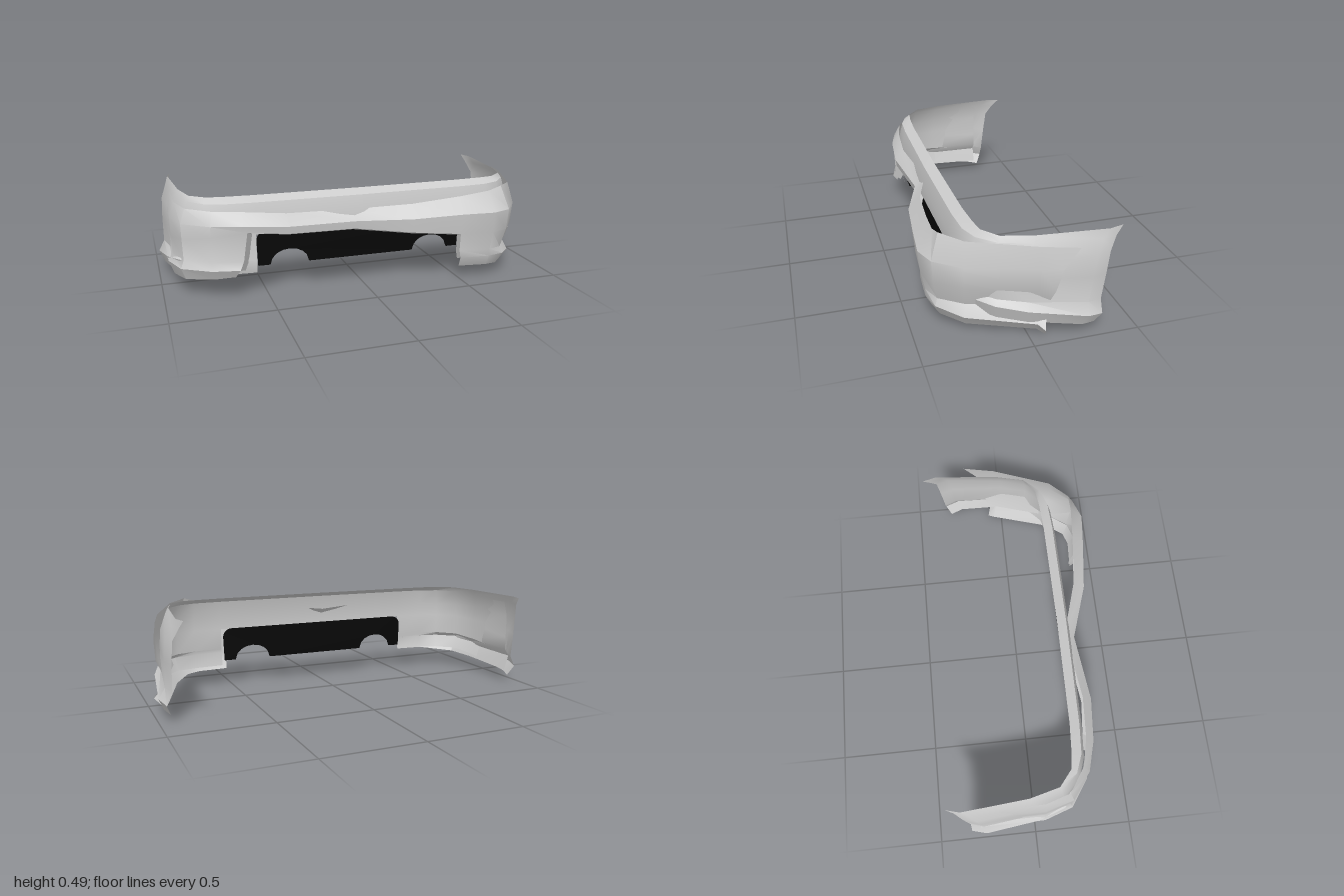
import * as THREE from 'three';
import { toCreasedNormals } from 'three/addons/utils/BufferGeometryUtils.js';

const paint = new THREE.MeshStandardMaterial({ color: 0xcccccc, side: THREE.DoubleSide });
paint.name = 'grey paint';
const black = new THREE.MeshStandardMaterial({ color: 0x060606, side: THREE.DoubleSide });
black.name = 'black mesh';

const { lerp, clamp } = THREE.MathUtils;

// Value at station i, blended between values set at key stations
function blend(i, keys, values) {
  let k = 0;
  while (k < keys.length - 2 && i > keys[k + 1]) k++;
  return lerp(values[k], values[k + 1], (i - keys[k]) / (keys[k + 1] - keys[k]));
}

// Points of a plan path pushed outward by out(i), at height y(i)
function row(plan, y, out) {
  return plan.map(([x, z], i) => {
    const a = plan[Math.max(i - 1, 0)], b = plan[Math.min(i + 1, plan.length - 1)];
    const n = new THREE.Vector2(a[1] - b[1], b[0] - a[0]).normalize();
    return [x + n.x * out(i), y(i), z + n.y * out(i)];
  });
}

// Skin between rows (top to bottom) of points running from -x to +x
function loft(name, rows, skip = () => false) {
  const pos = [];
  for (let j = 0; j < rows.length - 1; j++) {
    for (let i = 0; i < rows[j].length - 1; i++) {
      if (skip(i, j)) continue;
      const a = rows[j][i], b = rows[j + 1][i], c = rows[j + 1][i + 1], d = rows[j][i + 1];
      pos.push(...a, ...b, ...c, ...a, ...c, ...d);
    }
  }
  const geo = new THREE.BufferGeometry();
  geo.setAttribute('position', new THREE.Float32BufferAttribute(pos, 3));
  const mesh = new THREE.Mesh(toCreasedNormals(geo, 0.6), paint);
  mesh.name = name;
  return mesh;
}

// Symmetric inner skin; each row is front y, tail y, front outset, side outset, tail z
function innerShell() {
  const plan = [[0, .28], [.55, .275], [.7, .265], [.8, .23], [.885, .14], [.925, 0], [.955, -.29], [.935, -.36]];
  const rows = [
    [.49, .49, -.07, -.04, -.44],
    [.465, .45, -.02, -.025, -.4],
    [.38, .39, 0, 0, -.36],
    [.31, .28, 0, .005, -.345],
    [.2, .15, 0, .005, -.33],
    [.18, .09, .005, .035, -.32],
    [.11, .035, -.01, .01, -.3],
  ].map(([y0, y1, out0, out1, tail]) => {
    // sides run back to their own tail
    const path = plan.map(([x, z]) => [x, z < .14 ? .14 - (.14 - z) * (.14 - tail) / .5 : z]);
    const full = [...path.slice(1).reverse().map(([x, z]) => [-x, z]), ...path];
    const back = i => clamp((.14 - full[i][1]) / (.14 - tail), 0, 1);
    const side = i => clamp((Math.abs(full[i][0]) - .7) / .2, 0, 1);
    return row(full, i => lerp(y0, y1, back(i)), i => lerp(out0, out1, side(i)));
  });
  return loft('innerBumperSkin', rows, (i, j) => j >= 3 && (i === 6 || i === 7));
}

// Skewed outer skin, bulging forward at +x
function outerShell() {
  const group = new THREE.Group();
  group.name = 'outerBumper';
  const plan = [
    [-.94, -.28], [-.94, .05], [-.9, .19], [-.77, .285], [-.62, .325], [-.4, .345], [-.05, .305],
    [.23, .395], [.49, .425], [.66, .44], [.76, .4], [.85, .28], [.95, -.03], [.97, -.13],
  ];
  // heights at six key stations, outsets at three, end shift in z
  const rows = [
    [[.45, .43, .39, .44, .48, .455], [-.02, -.07, .01], -.07],
    [[.37, .37, .34, .36, .36, .36], [0, 0, .01], 0],
    [[.25, .335, .3, .255, .25, .25], [0, -.01, 0], .03],
    [[.18, .19, .3, .16, .15, .145], [0, -.03, -.05], .06],
    [[.14, .15, .3, .12, .115, .055], [.025, -.03, .01], .07],
    [[.06, .11, .3, .065, .055, 0], [0, -.06, -.04], .06],
  ].map(([ys, outs, shift]) => {
    const points = row(plan, i => blend(i, [0, 4, 6, 8, 10, 13], ys), i => blend(i, [0, 9, 13], outs));
    points[13][2] += shift;
    return points;
  });
  // slant the edges beside the opening
  for (let j = 2; j < 6; j++) {
    rows[j][4][0] = -.56 - .02 * j;
    rows[j][8][0] = .47 + .006 * j;
  }
  group.add(loft('outerBumperSkin', rows, (i, j) => j >= 2 && i >= 4 && i < 8));

  // folded rim around the opening
  const edge = [rows[4][4], rows[3][4], ...rows[2].slice(4, 9), rows[3][8], rows[4][8]];
  const rim = edge.map(([x, y, z]) => [x + (x < -.55 ? .03 : 0), y - .015, z - .04]);
  group.add(loft('openingRim', [edge, rim]));
  return group;
}

// Black mesh panel with two arched cut-outs in its lower edge
function grille() {
  const s = new THREE.Shape();
  s.moveTo(-.54, .14);
  for (const x of [-.38, .38]) {
    s.lineTo(x - .1, .14);
    s.bezierCurveTo(x - .09, .24, x + .09, .24, x + .1, .14);
  }
  s.lineTo(.54, .14);
  s.lineTo(.545, .27);
  s.quadraticCurveTo(.54, .31, .5, .315);
  s.lineTo(-.5, .315);
  s.quadraticCurveTo(-.54, .31, -.545, .27);
  const geo = new THREE.ExtrudeGeometry(s, { depth: .01, bevelEnabled: false, curveSegments: 8 });
  const mesh = new THREE.Mesh(geo, black);
  mesh.name = 'grille';
  mesh.position.z = .245;
  return mesh;
}

export function createModel() {
  const model = new THREE.Group();
  model.name = 'bumper';
  model.add(innerShell(), outerShell(), grille());
  return model;
}
